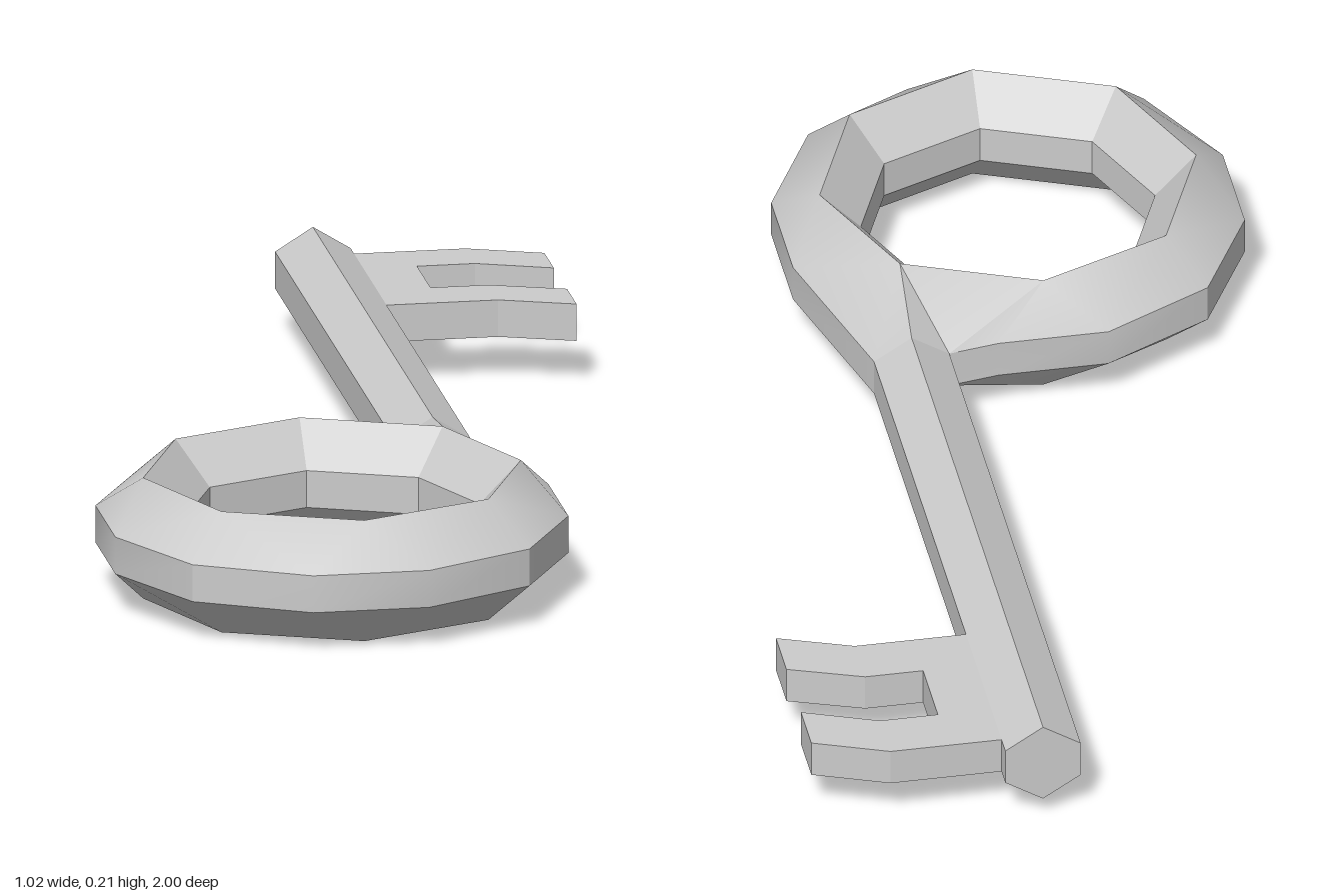
import * as THREE from 'three';
import { toCreasedNormals } from 'three/addons/utils/BufferGeometryUtils.js';

const MID = 0.1065; // height of the key's plane of symmetry
const HALF = 0.0325; // half height of the vertical side bands
const CREASE = Math.PI / 6;

// Triangles joining two closed loops, always taking the shorter diagonal
function stitch(a, b, out) {
  const at = (loop, k) => loop[k % loop.length];
  let i = 0, j = 0;
  while (i < a.length || j < b.length) {
    const p = at(a, i), q = at(b, j), pn = at(a, i + 1), qn = at(b, j + 1);
    const stepA = j === b.length || (i < a.length && pn.distanceTo(q) <= qn.distanceTo(p));
    out.push(p, q, stepA ? pn : qn);
    if (stepA) i++; else j++;
  }
}

// Bow: twelve-sided rim, eight-sided crest and hole, blended into the shaft
function bowGeometry() {
  const rim = [
    [0.27, 0.705], [0.17, 0.897], [-0.02, 1], [-0.22, 1], [-0.41, 0.897], [-0.51, 0.705], [-0.51, 0.505],
    [-0.41, 0.315], [-0.22, 0.215], [-0.03, 0.215],
    [0.058, 0.2], [0.123, 0.2, 0.073], [0.188, 0.2], // meets the shaft's section
    [0.27, 0.505],
  ];
  const outer = (s) => rim.map(([x, z, h = HALF]) => new THREE.Vector3(x, MID + s * h, z));
  const octagon = (r, h) => Array.from({ length: 8 }, (_, k) => {
    const t = (k * Math.PI) / 4;
    return new THREE.Vector3(-0.12 + r * Math.cos(t), MID + h, 0.606 + r * Math.sin(t));
  });
  const loops = [
    outer(-1), outer(1),
    octagon(0.325, MID), octagon(0.254, HALF),
    octagon(0.254, -HALF), octagon(0.325, -MID),
  ];
  const points = [];
  loops.forEach((loop, k) => stitch(loop, loops[(k + 1) % loops.length], points));
  return new THREE.BufferGeometry().setFromPoints(points);
}

// Shaft: six-sided bar along z
function shaftGeometry() {
  const w = 0.065, h = 0.073;
  const section = [[0, h], [-w, HALF], [-w, -HALF], [0, -h], [w, -HALF], [w, HALF]];
  const shape = new THREE.Shape(section.map(([x, y]) => new THREE.Vector2(x, y)));
  return new THREE.ExtrudeGeometry(shape, { depth: 1.2, bevelEnabled: false }).translate(0.123, MID, -1);
}

// Bit: flat plate with two bent teeth, outlined in x and z
function bitGeometry() {
  const outline = [
    [0.15, -0.64], [0.15, -0.965], [0.38, -0.965], [0.507, -0.915], [0.507, -0.82], [0.38, -0.87],
    [0.28, -0.87], [0.28, -0.735], [0.38, -0.735], [0.507, -0.688], [0.507, -0.592], [0.38, -0.64],
  ];
  const shape = new THREE.Shape(outline.map(([x, z]) => new THREE.Vector2(x, -z)));
  return new THREE.ExtrudeGeometry(shape, { depth: 2 * HALF, bevelEnabled: false })
    .rotateX(-Math.PI / 2)
    .translate(0, MID - HALF, 0);
}

export function createModel() {
  const key = new THREE.Group();
  key.name = 'key';
  const material = new THREE.MeshStandardMaterial({ color: 0xcccccc });
  const parts = { bow: bowGeometry(), shaft: shaftGeometry(), bit: bitGeometry() };
  for (const [name, geometry] of Object.entries(parts)) {
    const mesh = new THREE.Mesh(toCreasedNormals(geometry, name === 'bow' ? CREASE : 0.1), material);
    mesh.name = name;
    key.add(mesh);
  }
  return key;
}
